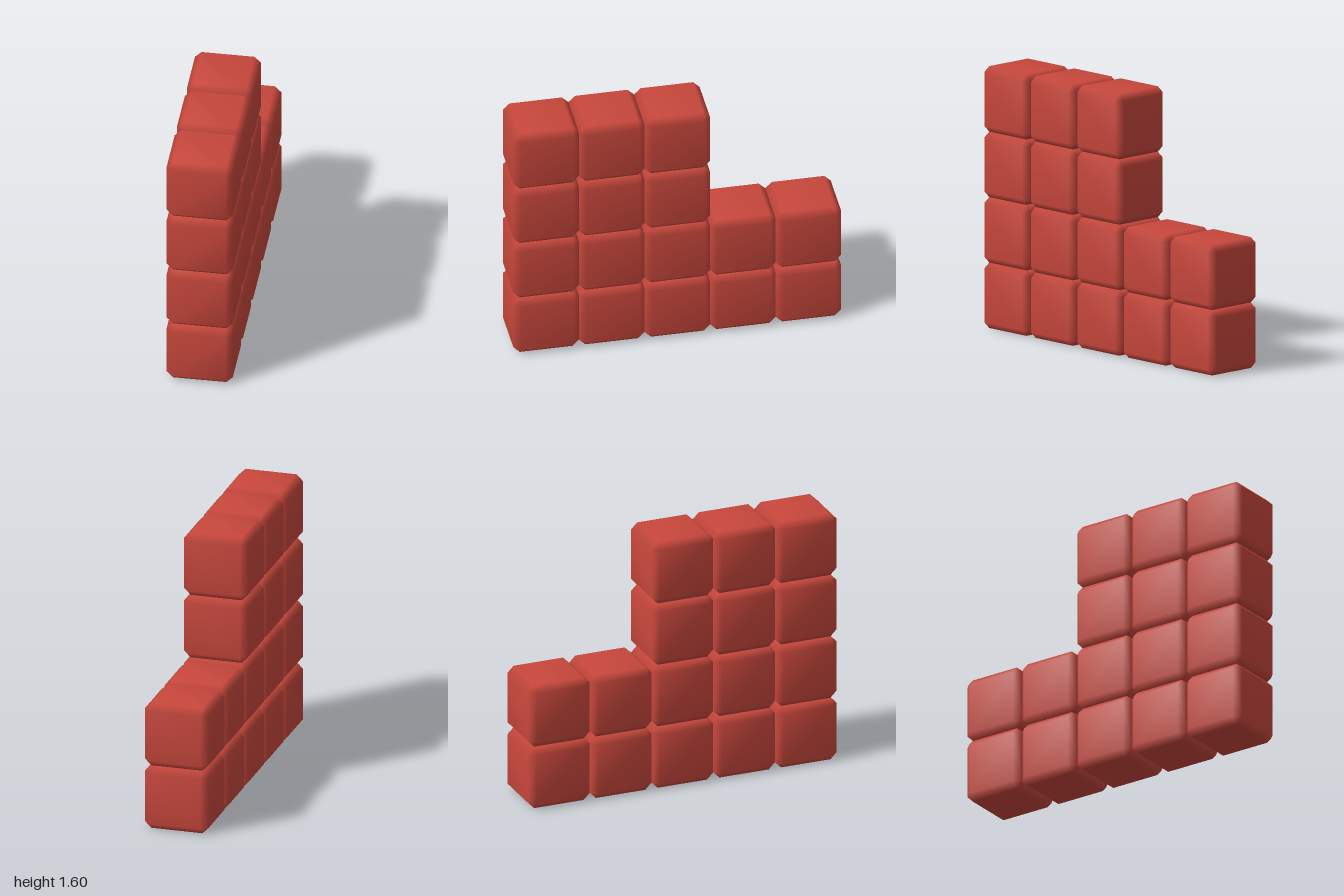
import * as THREE from 'three';

const SIZE = 0.4;
const BEVEL = 0.04;

// Cube with a single flat bevel on all edges and smooth shared normals.
function bevelledCube(size, bevel) {
  const h = size / 2, inner = h - bevel;
  const positions = [], index = [];

  // One vertex per corner and face axis; bits 0-2 hold the signs of x, y, z
  for (let axis = 0; axis < 3; axis++) {
    for (let bits = 0; bits < 8; bits++) {
      for (let k = 0; k < 3; k++) {
        positions.push((bits >> k & 1 ? 1 : -1) * (k === axis ? h : inner));
      }
    }
  }
  const quad = (a, b, c, d, flip) =>
    flip ? index.push(a, c, b, a, d, c) : index.push(a, b, c, a, c, d);

  for (let a = 0; a < 3; a++) {
    const u = (a + 1) % 3, v = (a + 2) % 3;
    const id = (axis, sa, su, sv) => axis * 8 + (sa << a) + (su << u) + (sv << v);
    for (const s of [0, 1]) {
      // Flat face
      quad(id(a, s, 0, 0), id(a, s, 1, 0), id(a, s, 1, 1), id(a, s, 0, 1), s === 0);
      // Bevels towards the next axis
      for (const t of [0, 1]) {
        quad(id(a, s, t, 0), id(u, s, t, 0), id(u, s, t, 1), id(a, s, t, 1), s !== t);
      }
    }
  }
  // Corner triangles
  for (let bits = 0; bits < 8; bits++) {
    const positive = ((bits & 1) + (bits >> 1 & 1) + (bits >> 2 & 1)) % 2 === 1;
    if (positive) index.push(bits, 8 + bits, 16 + bits);
    else index.push(bits, 16 + bits, 8 + bits);
  }

  const geometry = new THREE.BufferGeometry();
  geometry.setAttribute('position', new THREE.Float32BufferAttribute(positions, 3));
  geometry.setIndex(index);
  geometry.computeVertexNormals();
  return geometry;
}

export function createModel() {
  const model = new THREE.Group();
  model.name = 'blockWall';
  const geometry = bevelledCube(SIZE, BEVEL);
  const material = new THREE.MeshStandardMaterial({ color: 0xc8473c });

  // Blocks per row from the bottom up, counted from the front
  [5, 5, 3, 3].forEach((count, row) => {
    const course = new THREE.Group();
    course.name = `row${row + 1}`;
    for (let i = 0; i < count; i++) {
      const block = new THREE.Mesh(geometry, material);
      block.name = `block${i + 1}`;
      block.position.set(0, (row + 0.5) * SIZE, (2 - i) * SIZE);
      course.add(block);
    }
    model.add(course);
  });
  return model;
}
